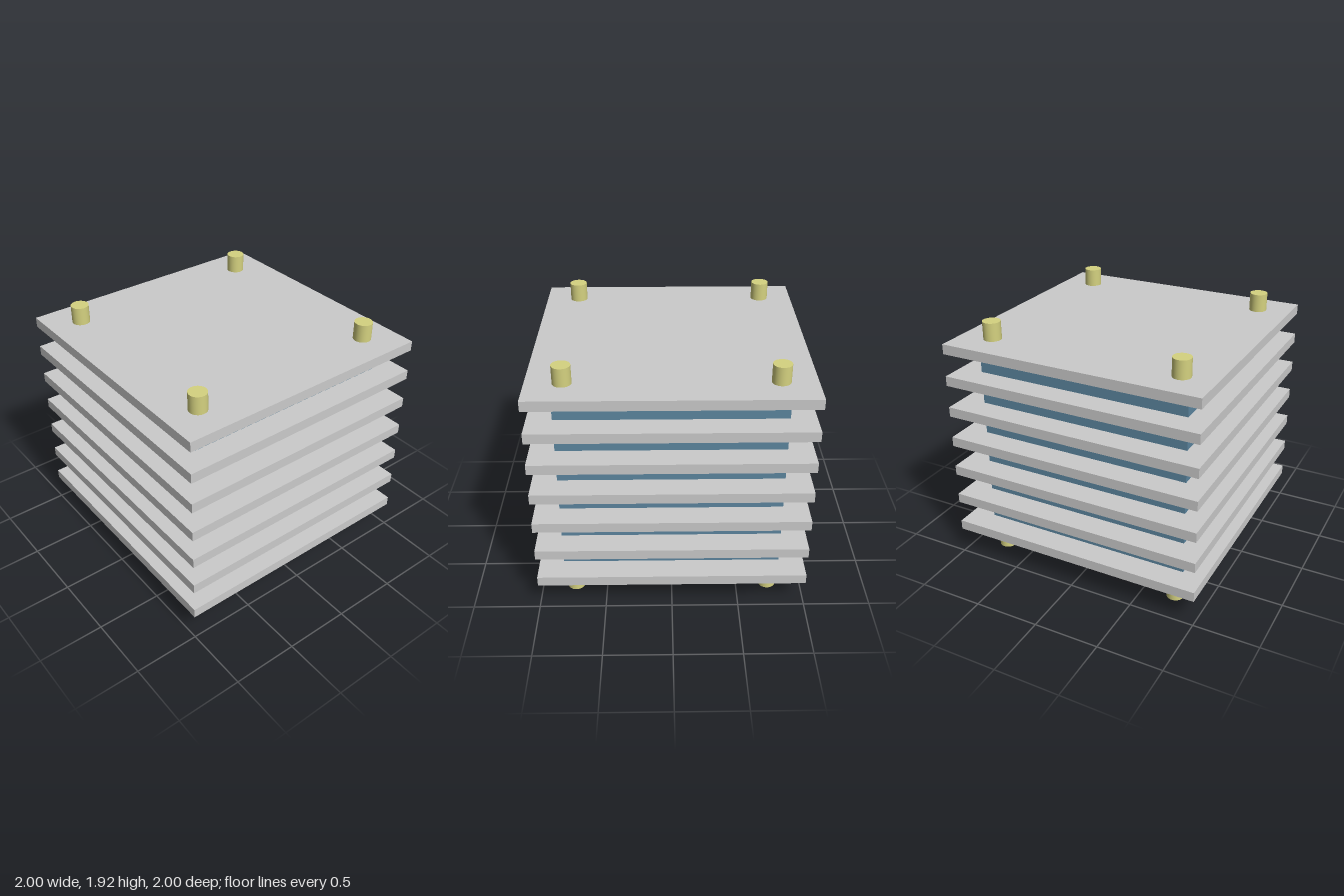
import * as THREE from 'three';

export function createModel() {
  const model = new THREE.Group();
  const grey = new THREE.MeshStandardMaterial({ color: 0xcccccc });
  const blue = new THREE.MeshStandardMaterial({ color: 0x5c86a0 });
  const brass = new THREE.MeshStandardMaterial({ color: 0xd5d280 });

  const add = (name, geometry, material, x, y, z) => {
    const mesh = new THREE.Mesh(geometry, material);
    mesh.name = name;
    mesh.position.set(x, y, z);
    model.add(mesh);
  };

  const plateCount = 7, pitch = 0.249, thickness = 0.076, firstY = 0.247;

  // Stack of square plates with a smaller block filling each gap
  const plate = new THREE.BoxGeometry(2, thickness, 2);
  const block = new THREE.BoxGeometry(1.65, pitch - thickness, 1.634);
  for (let i = 0; i < plateCount; i++) {
    const y = firstY + i * pitch;
    add('plate', plate, grey, 0, y, 0);
    if (i < plateCount - 1) add('spacerBlock', block, blue, -0.01, y + pitch / 2, 0.002);
  }

  // Four corner rods through the whole stack
  const rodHeight = 1.916;
  const rod = new THREE.CylinderGeometry(0.067, 0.067, rodHeight, 32);
  for (const x of [-0.75, 0.745])
    for (const z of [-0.744, 0.742]) add('cornerRod', rod, brass, x, rodHeight / 2, z);

  return model;
}
